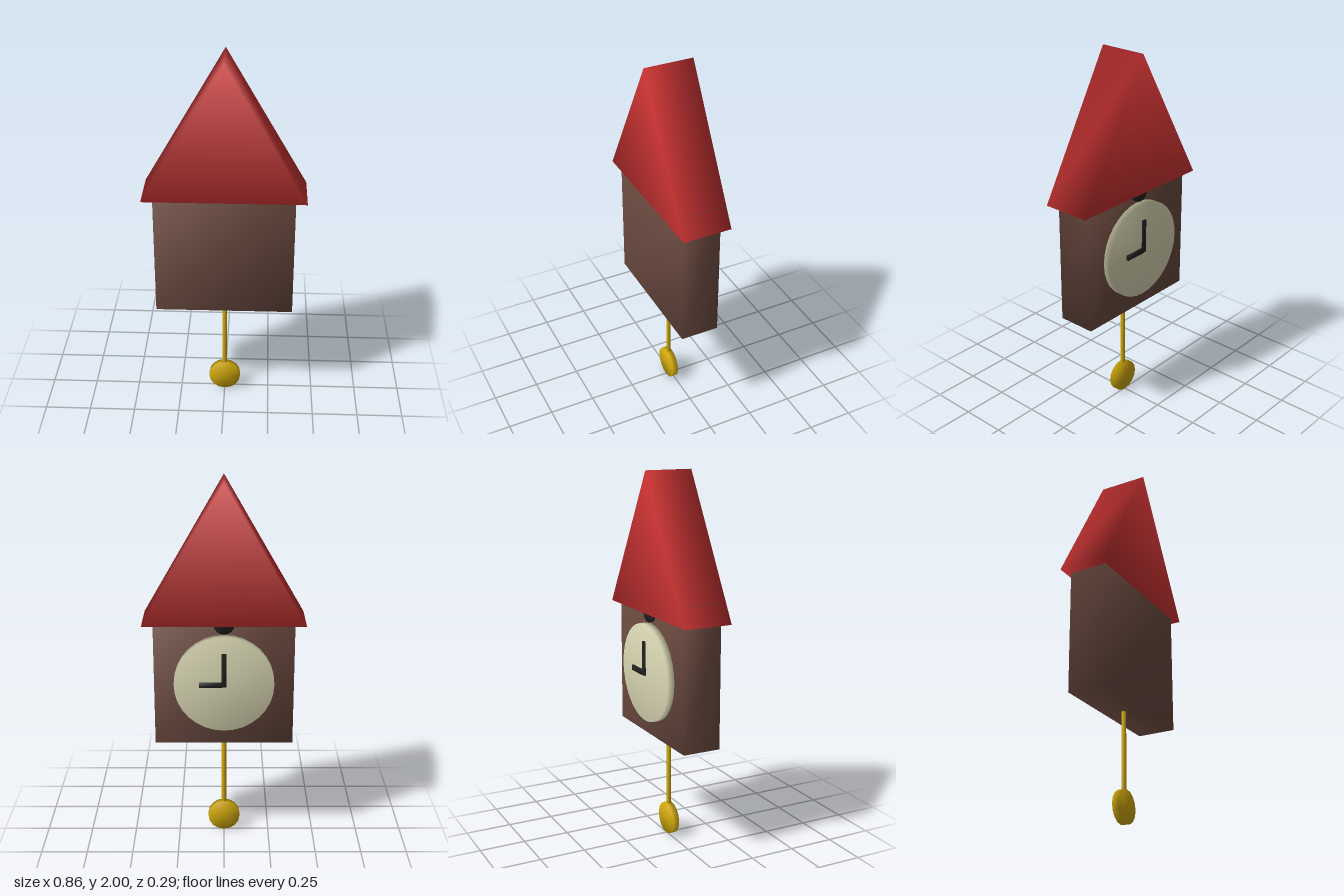
import * as THREE from 'three';
import { mergeVertices } from 'three/addons/utils/BufferGeometryUtils.js';

const material = (name, color) => {
  const m = new THREE.MeshStandardMaterial({ color });
  m.name = name;
  return m;
};

// Weld shared corners so the shading rolls softly over every edge
function soften(geometry) {
  geometry.deleteAttribute('normal');
  geometry.deleteAttribute('uv');
  const welded = mergeVertices(geometry, 1e-4);
  welded.computeVertexNormals();
  return welded;
}

// Box given by its min and max corners
function block([x0, y0, z0], [x1, y1, z1]) {
  return new THREE.BoxGeometry(x1 - x0, y1 - y0, z1 - z0)
    .translate((x0 + x1) / 2, (y0 + y1) / 2, (z0 + z1) / 2);
}

// Round plate facing along z
function disc(radius, y, z0, z1, sides) {
  return new THREE.CylinderGeometry(radius, radius, z1 - z0, sides)
    .rotateX(Math.PI / 2).translate(0, y, (z0 + z1) / 2);
}

export function createModel() {
  const group = new THREE.Group();
  group.name = 'cuckooClock';

  const wood = material('brown wood', 0x6d4c41);
  const red = material('red roof', 0xcc3333);
  const cream = material('cream dial', 0xdddab6);
  const black = material('black', 0x222222);
  const gold = material('gold', 0xd4ac0d);

  const add = (name, geometry, mat) => {
    const mesh = new THREE.Mesh(soften(geometry), mat);
    mesh.name = name;
    group.add(mesh);
  };

  // Case, its top corners just breaking through the roof slopes
  add('case', block([-0.37, 0.59, -0.094], [0.37, 1.362, 0.115]), wood);

  // Gabled roof
  const gable = new THREE.Shape([
    new THREE.Vector2(-0.428, 1.26),
    new THREE.Vector2(0.428, 1.26),
    new THREE.Vector2(0, 2),
  ]);
  add('roof', new THREE.ExtrudeGeometry(gable, { depth: 0.265, bevelEnabled: false })
    .translate(0, 0, -0.123), red);

  // Dial with its two hands, and the bird hole under the eaves
  add('dial', disc(0.265, 0.943, -0.133, -0.09, 32), cream);
  add('minuteHand', block([-0.014, 0.93, -0.141], [0.012, 1.115, -0.13]), black);
  add('hourHand', block([0.008, 0.93, -0.145], [0.132, 0.957, -0.13]), black);
  add('birdHole', disc(0.055, 1.27, -0.112, -0.09, 16), black);

  // Pendulum
  add('pendulumRod', new THREE.CylinderGeometry(0.013, 0.013, 0.46, 8)
    .translate(0, 0.39, 0.013), gold);
  add('pendulumBob', disc(0.088, 0.088, -0.005, 0.031, 16), gold);

  return group;
}
